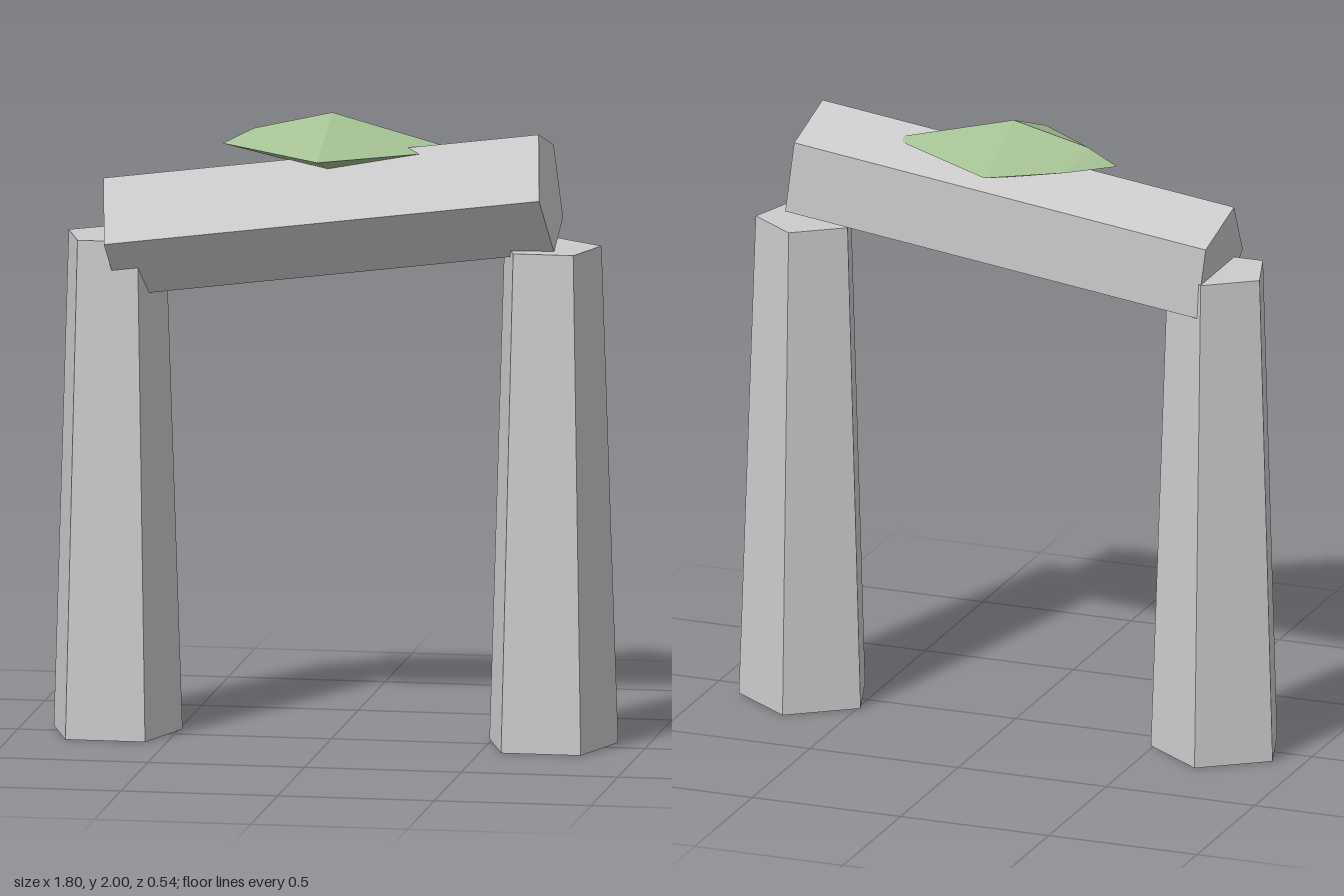
import * as THREE from 'three';
import { ConvexGeometry } from 'three/addons/geometries/ConvexGeometry.js';

export function createModel() {
  const model = new THREE.Group();
  const stone = new THREE.MeshStandardMaterial({ color: 0xcccccc, flatShading: true });
  const moss = new THREE.MeshStandardMaterial({ color: 0xa5c094, flatShading: true });

  const add = (name, geometry, material) => {
    const mesh = new THREE.Mesh(geometry, material);
    mesh.name = name;
    model.add(mesh);
    return mesh;
  };

  // Two tapered five-sided pillars, one edge pointing to the back
  for (const side of [-1, 1]) {
    const pillar = add(side > 0 ? 'leftPillar' : 'rightPillar',
      new THREE.CylinderGeometry(0.163, 0.216, 1.59, 5), stone);
    pillar.position.set(side * 0.695, 0.795, -0.02);
    pillar.rotation.y = Math.PI;
  }

  // Tilted five-sided lintel, one edge pointing to the front
  const lintel = add('lintel', new THREE.CylinderGeometry(0.199, 0.199, 1.4, 5), stone);
  lintel.position.set(0, 1.683, -0.015);
  lintel.rotation.z = Math.PI / 2 + 0.13;

  // Faceted moss clump, chipped at one end and sunk into the lintel
  const corners = [
    [0, 2, -0.018], [0, 1.81, -0.018],
    [0, 1.89, 0.265], [0, 1.89, -0.275],
    [-0.35, 1.89, -0.02], [0.41, 1.89, -0.02],
    [-0.25, 1.942, -0.02], [-0.222, 1.89, -0.135],
  ];
  add('mossClump', new ConvexGeometry(corners.map((c) => new THREE.Vector3(...c))), moss);

  return model;
}
